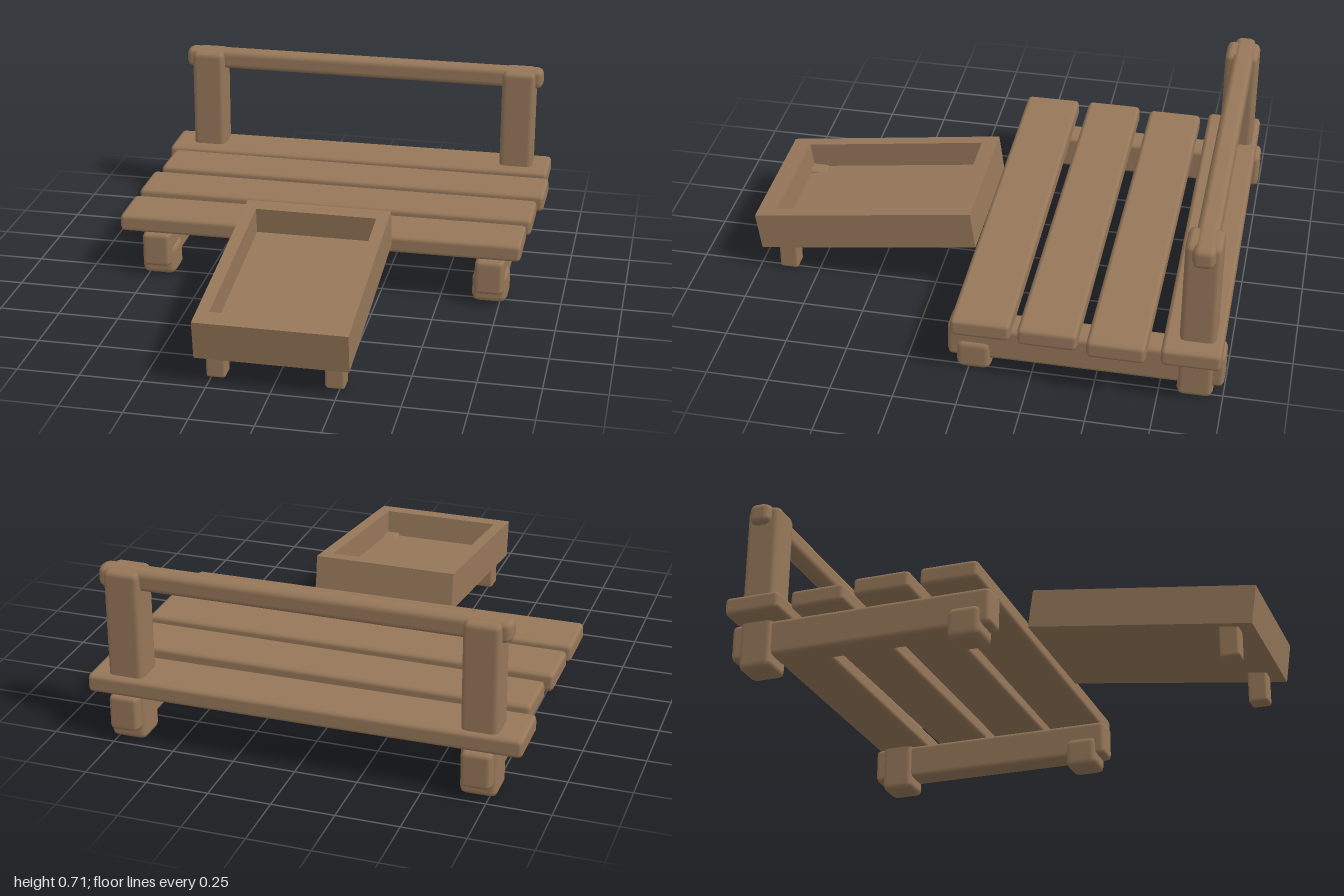
import * as THREE from 'three';
import { RoundedBoxGeometry } from 'three/addons/geometries/RoundedBoxGeometry.js';

export function createModel() {
  const group = new THREE.Group();
  const wood = new THREE.MeshStandardMaterial({ color: 0x97785a });
  wood.name = 'wood';

  // Bevelled timber given by its extents on each axis
  function beam(name, [x0, x1], [y0, y1], [z0, z1], bevel, turn = 0) {
    const geo = new RoundedBoxGeometry(x1 - x0, y1 - y0, z1 - z0, 1, bevel);
    const mesh = new THREE.Mesh(geo, wood);
    mesh.name = name;
    mesh.position.set((x0 + x1) / 2, (y0 + y1) / 2, (z0 + z1) / 2);
    mesh.rotation.y = turn;
    group.add(mesh);
  }

  // Deck planks, slightly uneven
  const planks = [
    [-0.875, 0.855, 0.195, -0.985, -0.755, 0.006],
    [-0.84, 0.87, 0.2, -0.71, -0.483, -0.007],
    [-0.86, 0.845, 0.2, -0.44, -0.208, -0.002],
    [-0.865, 0.83, 0.195, -0.17, 0.065, 0.006],
  ];
  planks.forEach(([x0, x1, y, z0, z1, turn], i) =>
    beam('deckPlank' + (i + 1), [x0, x1], [y, y + 0.075], [z0, z1], 0.018, turn));

  // Rails, front feet and back posts on each side
  for (const [side, s] of [['left', 1], ['right', -1]]) {
    const span = (w) => [s * 0.706 - w / 2, s * 0.706 + w / 2];
    beam(side + 'Rail', span(0.12), [0.05, 0.2], [-1, 0.085], 0.02);
    beam(side + 'FrontFoot', span(0.146), [0, 0.13], [-0.09, 0.05], 0.028);
    beam(side + 'BackPost', span(0.146), [0, 0.707], [-0.96, -0.82], 0.024);
    // Tray legs
    const c = s * 0.232;
    beam(side + 'TrayLeg', [c - 0.039, c + 0.039], [0, 0.184], [0.838, 0.918], 0.012);
  }

  // Back rest bar
  beam('backBar', [-0.812, 0.81], [0.625, 0.712], [-0.938, -0.85], 0.026);

  // Sloping open tray: floor plus a rim with a rectangular hole
  const tray = new THREE.Group();
  tray.name = 'tray';
  tray.position.set(0, 0.253, 0.535);
  tray.rotation.x = 0.137;
  const outline = (P, x, y0, y1) => {
    const p = new P();
    p.moveTo(-x, y0);
    p.lineTo(x, y0);
    p.lineTo(x, y1);
    p.lineTo(-x, y1);
    p.closePath();
    return p;
  };
  const rimShape = outline(THREE.Shape, 0.3, -0.459, 0.459);
  rimShape.holes.push(outline(THREE.Path, 0.25, -0.378, 0.392));
  const rimGeo = new THREE.ExtrudeGeometry(rimShape, { depth: 0.11, bevelEnabled: false });
  rimGeo.rotateX(-Math.PI / 2);
  const rim = new THREE.Mesh(rimGeo, wood);
  rim.name = 'trayRim';
  rim.position.y = -0.03;
  const floor = new THREE.Mesh(new THREE.BoxGeometry(0.6, 0.05, 0.918), wood);
  floor.name = 'trayFloor';
  floor.position.y = -0.055;
  tray.add(rim, floor);
  group.add(tray);

  return group;
}
